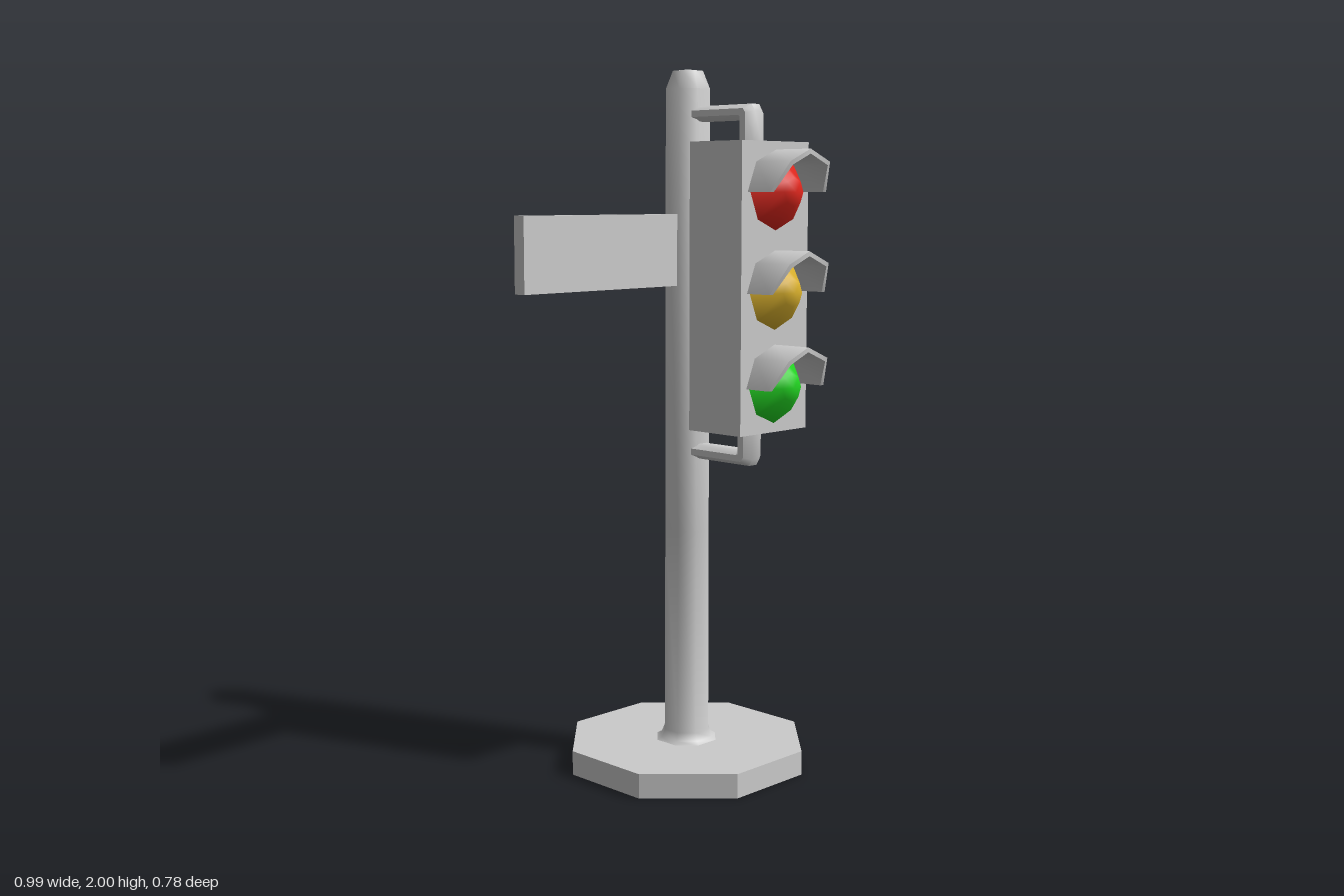
import * as THREE from 'three';
import { toCreasedNormals } from 'three/addons/utils/BufferGeometryUtils.js';

const X = 0.163;      // post axis
const Z = -0.06;
const FLAT = 1 / Math.cos(Math.PI / 8); // octagon: flat distance -> corner radius

function paint(color = 0xcccccc, extra = {}) {
  return new THREE.MeshStandardMaterial({ color, ...extra });
}

function add(parent, name, geometry, material, x = 0, y = 0, z = 0) {
  const mesh = new THREE.Mesh(geometry, material);
  mesh.name = name;
  mesh.position.set(x, y, z);
  parent.add(mesh);
  return mesh;
}

// Surface through equal-length loops of points; triangles face outward for
// loops that run anticlockwise about the direction of travel.
function loft(rings, closed) {
  const n = rings[0].length;
  const index = [];
  for (let i = 0; i < rings.length - 1; i++) {
    for (let j = 0; j < (closed ? n : n - 1); j++) {
      const a = i * n + j, b = i * n + (j + 1) % n;
      index.push(a, b, b + n, a, b + n, a + n);
    }
  }
  const g = new THREE.BufferGeometry();
  g.setAttribute('position', new THREE.Float32BufferAttribute(rings.flat(2), 3));
  g.setIndex(index);
  return toCreasedNormals(g, 0.87);
}

function latheOctagon(profile) {
  const points = profile.map(([r, y]) => new THREE.Vector2(r * FLAT, y));
  return toCreasedNormals(new THREE.LatheGeometry(points, 8).rotateY(Math.PI / 8), 0.87);
}

// Elbow from the lamp housing to the post; side is +1 at the top, -1 below
function bracketGeometry(side) {
  const middle = 1.4025;
  const ring = (place) => Array.from({ length: 8 }, (_, j) => {
    const a = Math.PI / 8 + j * Math.PI / 4;
    return [0.037 * FLAT * Math.cos(a), ...place(Math.sin(a) * FLAT)];
  });
  const height = (h) => middle + side * h;
  return loft([
    ring((s) => [height(0.385), 0.18 + s * 0.025]),
    ring((s) => [height(0.465 + s * 0.01), 0.18 + s * 0.025]),
    ring((s) => [height(0.4725 + s * 0.021), 0.172 + s * 0.022]),
    ring((s) => [height(0.4725 + s * 0.021), -0.03]),
  ], true);
}

// Half-octagon hood with a raked front edge and a thin wall
function hoodGeometry() {
  const depths = [0.08, 0.12, 0.12, 0.12, 0.08];
  const arc = (r, front) => depths.map((d, j) => {
    const a = j * Math.PI / 4;
    return [r * Math.cos(a), r * Math.sin(a), front ? d : 0];
  });
  return loft([arc(0.113, false), arc(0.113, true), arc(0.1, true), arc(0.1, false)], false);
}

export function createModel() {
  const model = new THREE.Group();
  model.name = 'trafficLight';
  const grey = paint();
  const thin = paint(0xcccccc, { side: THREE.DoubleSide });

  // Foot and post
  const foot = new THREE.CylinderGeometry(0.329 * FLAT, 0.329 * FLAT, 0.07, 8).rotateY(Math.PI / 8);
  add(model, 'base', foot, paint(0xcccccc, { flatShading: true }), X, 0.035, Z);
  add(model, 'post', latheOctagon([
    [0.088, 0.068], [0.072, 0.078], [0.0635, 0.1], [0.0625, 0.7], [0.0615, 1.945], [0.042, 1.995], [0, 2],
  ]), grey, X, 0, Z);

  // Lamp housing and its two brackets
  add(model, 'housing', new THREE.BoxGeometry(0.27, 0.785, 0.19), grey, 0.162, 1.4025, 0.175);
  add(model, 'upperBracket', bracketGeometry(1), thin, X);
  add(model, 'lowerBracket', bracketGeometry(-1), thin, X);

  // Lamps: faceted lens under a hood
  const lens = toCreasedNormals(new THREE.LatheGeometry(
    [[0.102, 0], [0.038, 0.064], [0, 0.072]].map(([r, y]) => new THREE.Vector2(r, y)), 8,
  ).rotateX(Math.PI / 2), 0.87);
  const hood = hoodGeometry();
  const lamps = [['red', 0xe0261c, 1.66], ['yellow', 0xd9b02c, 1.392], ['green', 0x22d422, 1.137]];
  for (const [name, color, y] of lamps) {
    const lamp = new THREE.Group();
    lamp.name = name + 'Lamp';
    lamp.position.set(X, y, 0.27);
    add(lamp, 'lens', lens, paint(color, { side: THREE.DoubleSide }));
    add(lamp, 'hood', hood, thin);
    model.add(lamp);
  }

  // Blank sign board, swung slightly forward
  const sign = add(model, 'signBoard', new THREE.BoxGeometry(0.63, 0.2, 0.035), grey, -0.18, 1.5, -0.039);
  sign.rotation.y = 0.066;

  return model;
}
